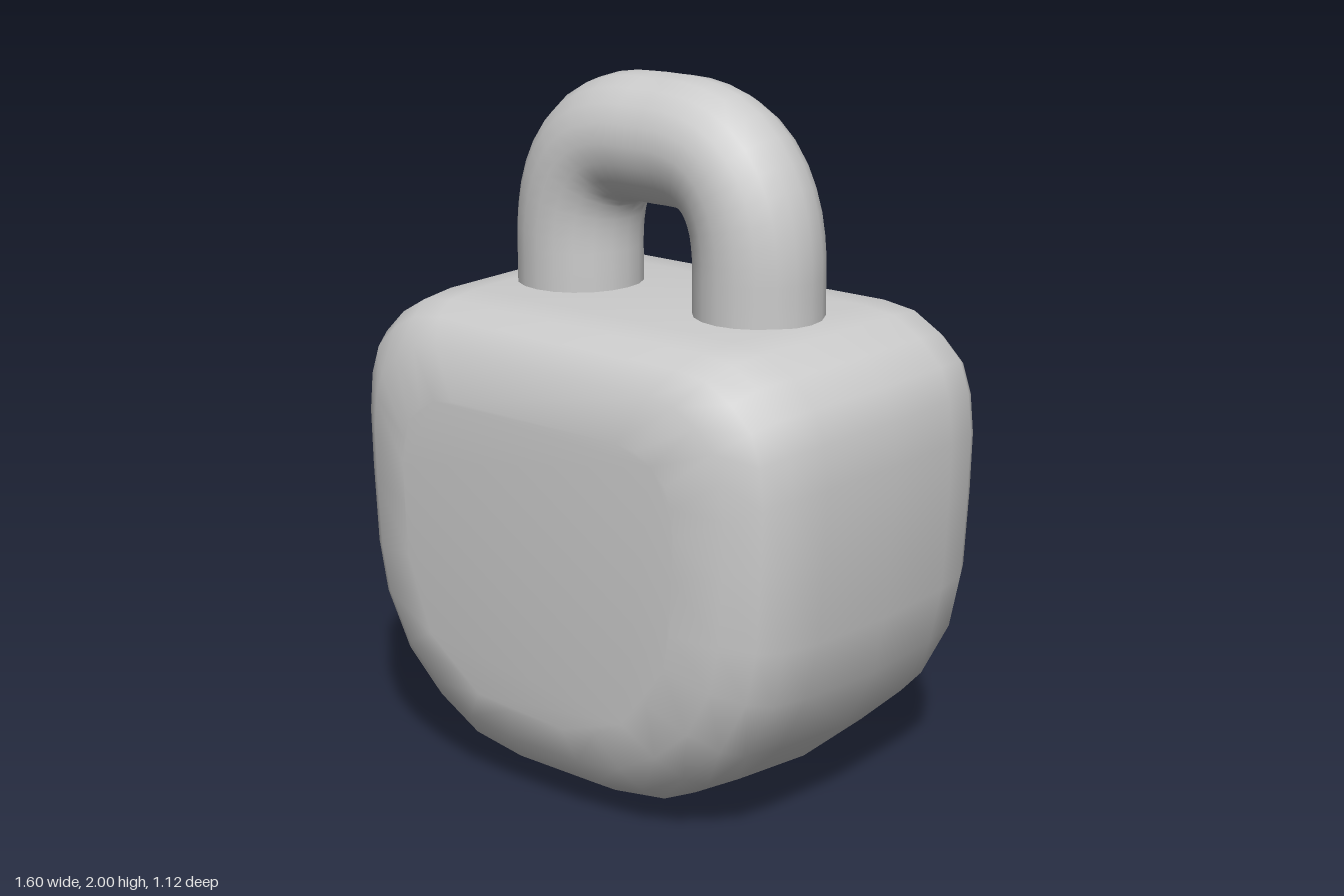
import * as THREE from 'three';
import { mergeGeometries, toCreasedNormals } from 'three/addons/utils/BufferGeometryUtils.js';

const MID = 0.7; // height the body cross-sections shrink towards

// Right half of the body outline, bottom to top
const HALF = [[0.16, 0], [0.35, 0.03], [0.51, 0.12], [0.65, 0.25], [0.745, 0.43], [0.78, 0.6],
  [0.795, 0.85], [0.8, 1.03], [0.787, 1.15], [0.755, 1.24], [0.68, 1.31], [0.59, 1.36], [0.48, 1.375]];
const OUTLINE = [...HALF, ...HALF.map(([x, y]) => [-x, y]).reverse()];

// Depth, then scale of width, upper part and lower part
const SECTIONS = [[0, 1, 1, 1], [0.28, 0.985, 0.995, 0.965], [0.4, 0.96, 0.98, 0.935],
  [0.47, 0.91, 0.93, 0.875], [0.53, 0.81, 0.83, 0.76], [0.56, 0.63, 0.63, 0.62]];

const bodyLoop = ([, sx, top, low]) =>
  OUTLINE.map(([x, y]) => [x * sx, MID + (y - MID) * (y > MID ? top : low)]);

// Keyhole outline, grown outward by o
function keyholeLoop(o) {
  const r = 0.205 + o, h = 0.12 + o, b = 0.43 - o, cy = 0.93, c = 0.04;
  const pts = [[-h, b + c], [c - h, b], [h - c, b], [h, b + c]];
  const a = Math.acos(h / r), n = 18;
  for (let i = 0; i <= n; i++) {
    const t = -a + (Math.PI + 2 * a) * i / n;
    pts.push([r * Math.cos(t), cy + r * Math.sin(t)]);
  }
  return pts;
}

// Skin between closed loops, each given as [points, z]
function loft(loops) {
  const n = loops[0][0].length, pos = [], index = [];
  for (const [pts, z] of loops) for (const [x, y] of pts) pos.push(x, y, z);
  for (let i = 0; i < loops.length - 1; i++) {
    for (let j = 0; j < n; j++) {
      const a = i * n + j, b = i * n + (j + 1) % n;
      index.push(a, b, b + n, a, b + n, a + n);
    }
  }
  const g = new THREE.BufferGeometry();
  g.setAttribute('position', new THREE.Float32BufferAttribute(pos, 3));
  g.setIndex(index);
  return g;
}

// Flat face at depth z, optionally with a hole, facing front or back
function face(pts, z, back, hole) {
  const toV = (l) => l.map(([x, y]) => new THREE.Vector2(x, y));
  const shape = new THREE.Shape(toV(pts));
  if (hole) shape.holes.push(new THREE.Path(toV(hole)));
  const g = new THREE.ShapeGeometry(shape);
  if (back) g.rotateY(Math.PI);
  return g.translate(0, 0, z);
}

function smooth(parts, angle) {
  const list = parts.map((p) => {
    p.deleteAttribute('uv');
    p.deleteAttribute('normal');
    return p.toNonIndexed();
  });
  return toCreasedNormals(mergeGeometries(list), angle);
}

export function createModel() {
  const group = new THREE.Group();
  const material = new THREE.MeshStandardMaterial({ color: 0xcccccc });
  const add = (geometry, name) => {
    const mesh = new THREE.Mesh(geometry, material);
    mesh.name = name;
    group.add(mesh);
  };

  // Rounded body, with a soft-rimmed keyhole sunk into the back
  const backHalf = SECTIONS.slice(1).reverse().map((s) => [bodyLoop(s), -s[0]]);
  const frontHalf = SECTIONS.map((s) => [bodyLoop(s), s[0]]);
  const faceLoop = bodyLoop(SECTIONS[5]);
  const rim = [[0, -0.08], [0, -0.5], [0.012, -0.535], [0.035, -0.56]];
  add(smooth([
    loft([...backHalf, ...frontHalf]),
    face(faceLoop, 0.56, false),
    face(faceLoop, -0.56, true, keyholeLoop(0.035)),
    loft(rim.map(([o, z]) => [keyholeLoop(o), z])),
    face(keyholeLoop(0), -0.08, true),
  ], 0.8), 'body');

  // Shackle: a thick bent bar sunk into the top of the body
  const side = [[0.33, 1.3], [0.33, 1.42], [0.328, 1.55], [0.308, 1.65], [0.262, 1.735], [0.195, 1.79], [0.11, 1.815]];
  const path = [...side, [0, 1.818], ...side.map(([x, y]) => [-x, y]).reverse()];
  const curve = new THREE.CatmullRomCurve3(path.map(([x, y]) => new THREE.Vector3(x, y, 0)));
  add(new THREE.TubeGeometry(curve, 32, 0.183, 20, false), 'shackle');

  return group;
}
